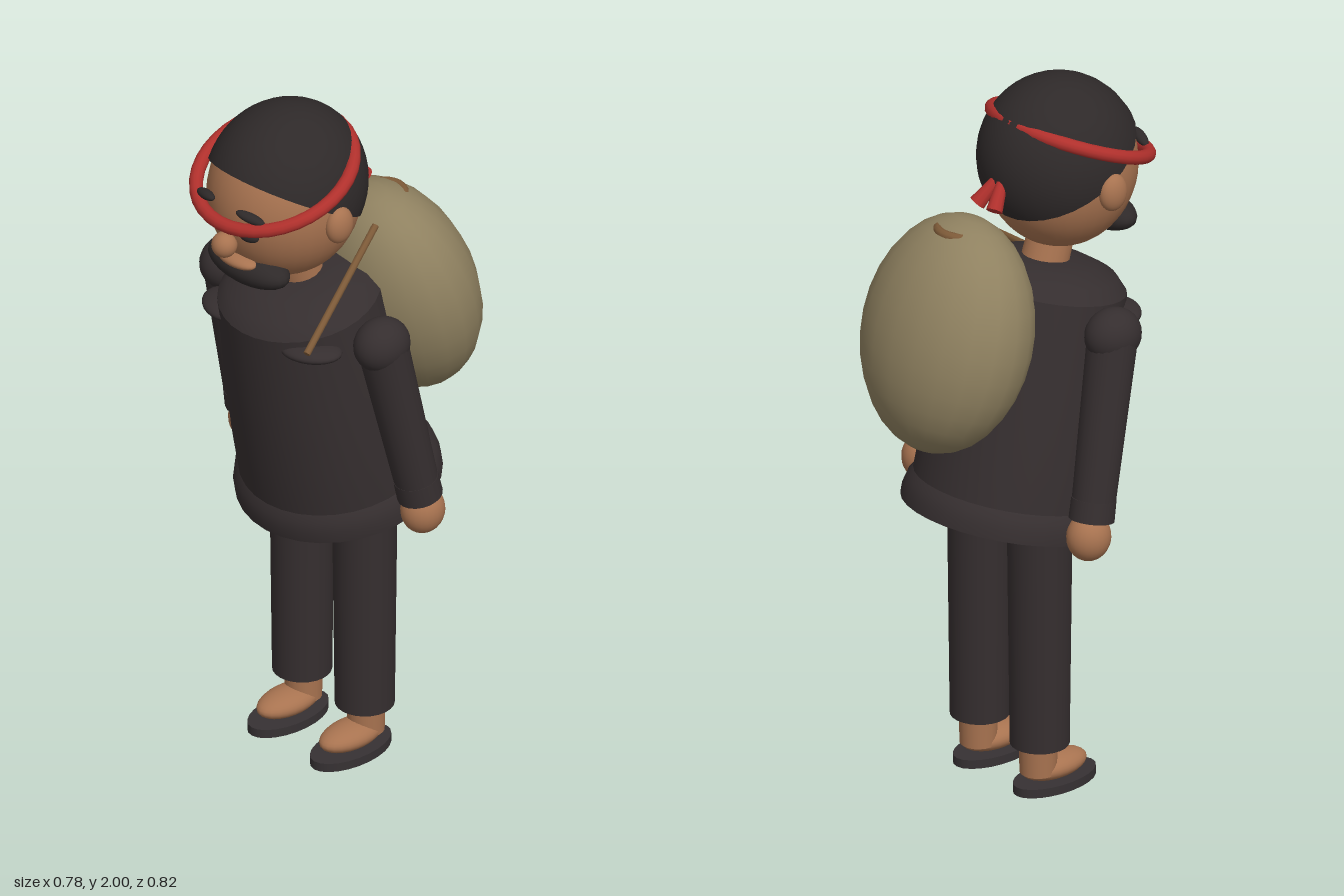
import * as THREE from 'three';

const mat = (name, color, side = THREE.FrontSide) => {
  const m = new THREE.MeshStandardMaterial({ color, side });
  m.name = name;
  return m;
};

export function createModel() {
  const cloth = mat('dark cloth', 0x352e2f, THREE.DoubleSide);
  const hair = mat('black hair', 0x2e2929, THREE.DoubleSide);
  const skin = mat('skin', 0xa87350);
  const red = mat('red cloth', 0xb0302c);
  const burlap = mat('sack cloth', 0x8f8160);
  const rope = mat('brown rope', 0x7d5a38);
  const sole = mat('sandal sole', 0x363133);

  const model = new THREE.Group();
  const add = (name, geometry, material, position = [0, 0, 0], rotation = [0, 0, 0], parent = model) => {
    const mesh = new THREE.Mesh(geometry, material);
    mesh.name = name;
    mesh.position.set(...position);
    mesh.rotation.set(...rotation);
    parent.add(mesh);
    return mesh;
  };
  // Ellipsoid with given radii
  const ball = (rx, ry, rz, w = 24, h = 16) => new THREE.SphereGeometry(1, w, h).scale(rx, ry, rz);
  // Tapered cylinder running from a to b
  const rod = (name, a, b, ra, rb, material, sides = 20) => {
    const from = new THREE.Vector3(...a), to = new THREE.Vector3(...b);
    const dir = to.clone().sub(from);
    const mesh = add(name, new THREE.CylinderGeometry(rb, ra, dir.length(), sides), material,
      from.clone().add(to).multiplyScalar(0.5).toArray());
    mesh.quaternion.setFromUnitVectors(new THREE.Vector3(0, 1, 0), dir.normalize());
    return mesh;
  };

  // Forward-leaning tunic: hem, body and domed shoulders
  const tunic = new THREE.Group();
  tunic.name = 'tunic';
  tunic.position.set(0, 0.778, -0.045);
  tunic.rotation.x = 0.224;
  model.add(tunic);
  const lathe = (points) => new THREE.LatheGeometry(points.map((p) => new THREE.Vector2(...p)), 32)
    .scale(1.02, 1, 0.98);
  add('tunicHem', lathe([[0, 0], [0.278, 0]]), cloth, undefined, undefined, tunic);
  add('tunicHemBand', lathe([[0.28, 0], [0.28, 0.03], [0.272, 0.06], [0.258, 0.08]]), cloth, undefined, undefined, tunic);
  add('tunicBody', lathe([[0.259, 0.07], [0.256, 0.2], [0.242, 0.43], [0.221, 0.655]]), cloth, undefined, undefined, tunic);
  add('tunicShoulders', lathe([[0.221, 0.655], [0.19, 0.69], [0.13, 0.714], [0.07, 0.724], [0, 0.724]]),
    cloth, undefined, undefined, tunic);

  for (const s of [-1, 1]) {
    const side = s > 0 ? 'left' : 'right';
    // Arm
    add(side + 'ChestFold', ball(0.085, 0.024, 0.06), cloth, [s * 0.165, 1.345, 0.215], [0, s * 0.5, 0]);
    add(side + 'Shoulder', ball(0.07, 0.075, 0.082), cloth, [s * 0.295, 1.365, 0.08]);
    rod(side + 'Sleeve', [s * 0.295, 1.37, 0.08], [s * 0.328, 0.9, -0.02], 0.069, 0.059, cloth);
    rod(side + 'Cuff', [s * 0.326, 0.925, -0.015], [s * 0.33, 0.868, -0.027], 0.061, 0.062, cloth);
    add(side + 'Hand', ball(0.058, 0.067, 0.062), skin, [s * 0.33, 0.82, -0.037]);
    // Leg and sandal
    rod(side + 'Trouser', [s * 0.12, 0.135, -0.025], [s * 0.12, 0.84, -0.025], 0.08, 0.088, cloth, 24);
    rod(side + 'Ankle', [s * 0.12, 0.05, -0.03], [s * 0.12, 0.16, -0.03], 0.05, 0.053, skin);
    add(side + 'Foot', ball(0.058, 0.036, 0.105), skin, [s * 0.12, 0.056, 0.025]);
    add(side + 'Sole', new THREE.CylinderGeometry(1, 1, 0.025, 24).scale(0.072, 1, 0.133), sole,
      [s * 0.12, 0.0125, 0.027]);
    // Face details
    add(side + 'Ear', ball(0.03, 0.053, 0.043), skin, [s * 0.21, 1.73, 0.155]);
    add(side + 'Brow', ball(0.044, 0.013, 0.016), hair, [s * 0.085, 1.783, 0.362], [0, s * 0.3, -s * 0.18]);
    add(side + 'Eye', ball(0.03, 0.017, 0.014), hair, [s * 0.073, 1.718, 0.355], [0, s * 0.25, 0]);
    // Headband tail
    rod(side + 'BandTail', [s * 0.008, 1.765, -0.055], [s * 0.034, 1.695, -0.11], 0.014, 0.023, red, 10);
  }

  // Neck and head
  rod('neck', [0, 1.43, 0.085], [0, 1.57, 0.13], 0.067, 0.062, skin);
  add('head', ball(0.205, 0.23, 0.21, 32, 24), skin, [0, 1.745, 0.155]);
  add('nose', ball(0.035, 0.036, 0.035), skin, [0, 1.67, 0.376]);
  add('beard', ball(0.142, 0.052, 0.067), hair, [0, 1.575, 0.285]);
  add('mouth', ball(0.068, 0.02, 0.035), skin, [0, 1.607, 0.328]);

  // Hair cap, tilted back to the nape
  add('hair', new THREE.SphereGeometry(1, 32, 14, 0, Math.PI * 2, 0, Math.PI * 0.51).scale(0.213, 0.235, 0.224),
    hair, [0, 1.765, 0.15], [-0.52, 0, 0]);
  add('headband', new THREE.TorusGeometry(0.218, 0.019, 12, 36), red, [0, 1.825, 0.19], [Math.PI / 2 + 0.385, 0, 0]);

  // Sack on the back with tie and strap
  add('sack', ball(0.262, 0.328, 0.198, 20, 16), burlap, [0.05, 1.335, -0.2], [0.272, 0, 0]);
  add('sackTie', new THREE.TorusGeometry(0.06, 0.014, 10, 24), rope, [0.05, 1.622, -0.155], [Math.PI / 2 + 0.12, 0, 0]);
  rod('strap', [0.125, 1.6, -0.06], [0.2, 1.37, 0.265], 0.01, 0.01, rope, 8);

  return model;
}
